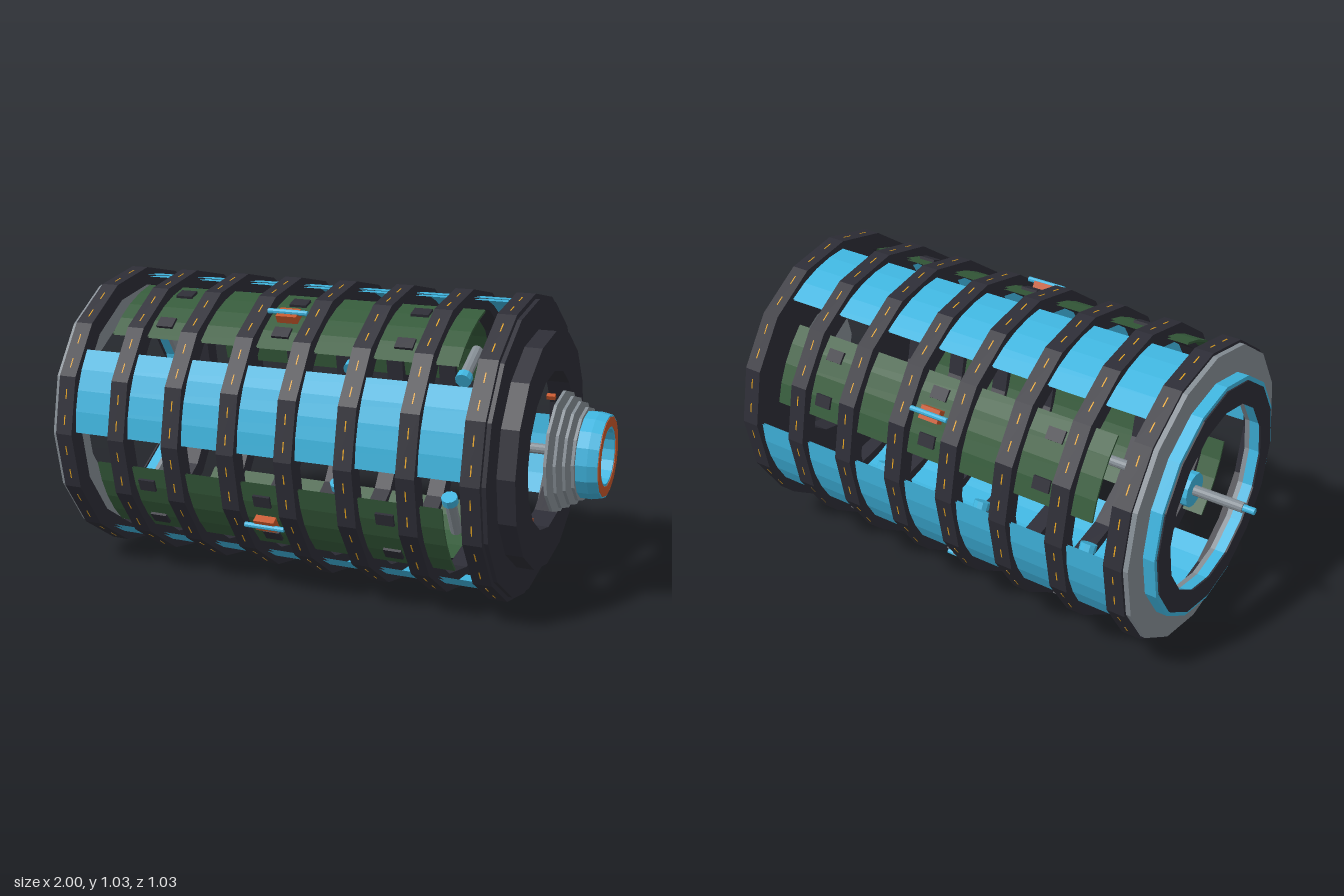
import * as THREE from 'three';

const DEG = Math.PI / 180;
const mat = (name, color, side = THREE.FrontSide) =>
  new THREE.MeshStandardMaterial({ name, color, side });

export function createModel() {
  const blue = mat('sky blue', 0x3fb4de, THREE.DoubleSide);
  const dark = mat('charcoal', 0x2d2d36);
  const green = mat('board green', 0x355a3a, THREE.DoubleSide);
  const grey = mat('steel grey', 0x858d94);
  const orange = mat('burnt orange', 0xc4562a);
  const yellow = mat('amber', 0xe0a020);

  const model = new THREE.Group();
  const body = new THREE.Group();
  body.name = 'drumBody';
  body.position.y = 0.517;
  model.add(body);

  const add = (parent, name, geometry, material) => {
    const flat = geometry.index ? geometry.toNonIndexed() : geometry;
    flat.computeVertexNormals();
    const mesh = new THREE.Mesh(flat, material);
    mesh.name = name;
    parent.add(mesh);
    return mesh;
  };

  // Solid of revolution about the x axis from [radius, x] points
  const turned = (name, profile, material, sides = 16, start = 0, length = 360) =>
    add(body, name, new THREE.LatheGeometry(
      profile.map(([r, x]) => new THREE.Vector2(r, x)),
      sides, -(start + length) * DEG, length * DEG).rotateZ(-Math.PI / 2), material);

  // Rectangular-section ring, or a sector of one
  const ring = (name, x0, x1, inner, outer, material, sides, start, length) =>
    turned(name, [[inner, x0], [outer, x0], [outer, x1], [inner, x1], [inner, x0]],
      material, sides, start, length);

  const rod = (name, x0, x1, r, material, sides = 12) =>
    turned(name, [[0, x0], [r, x0], [r, x1], [0, x1]], material, sides);

  // Group whose +z points outward at an angle measured from front to top
  const radial = (name, angle) => {
    const g = new THREE.Group();
    g.name = name;
    g.rotation.x = -angle * DEG;
    body.add(g);
    return g;
  };

  const box = (parent, name, size, pos, material) =>
    add(parent, name, new THREE.BoxGeometry(...size), material).position.set(...pos);

  // Outer hoops, with fine dashes on each facet
  for (let i = 0; i < 8; i++) {
    const x = -0.773 + i * 0.211;
    ring('hoop', x - 0.032, x + 0.032, 0.455, 0.517, dark);
    for (let k = 0; k < 16; k++) {
      const g = radial('hoopDash', 11.25 + k * 22.5);
      for (const y of [-0.05, 0.04])
        box(g, 'dash', [0.004, 0.035, 0.002], [x, y, 0.507], yellow);
    }
  }

  // Right end: flange and thick cap
  ring('rightFlange', 0.73, 0.75, 0.268, 0.5, dark);
  ring('rightCap', 0.75, 0.81, 0.268, 0.4, dark);

  // Left end: steel plate, blue collar, dark face
  ring('leftPlate', -0.822, -0.805, 0.33, 0.507, grey);
  ring('leftCollar', -0.862, -0.822, 0.33, 0.415, blue);
  ring('leftFace', -0.867, -0.861, 0.322, 0.4, dark);

  for (let q = 0; q < 4; q++) {
    // Blue shell panels
    ring('shellPanel', -0.745, 0.745, 0.482, 0.49, blue, 4, q * 90 + 0.5, 34.5);

    // Green boards with chips, posts and connector
    const mid = q * 90 + 61;
    ring('board', -0.67, 0.6, 0.472, 0.48, green, 4, mid - 17, 34);
    for (const x of [-0.478, -0.035, 0.404]) {
      for (const off of [-9.5, 9.5]) {
        box(radial('chipMount', mid + off), 'chip',
          [0.062, 0.042, 0.012], [x, 0, 0.482], dark);
      }
      const post = radial('postMount', mid);
      const middle = x === -0.035;
      const shaft = add(post, 'post', new THREE.CylinderGeometry(0.022, 0.022, 0.17, 10)
        .rotateX(Math.PI / 2), middle ? dark : grey);
      shaft.position.set(x, 0, 0.39);
      const foot = add(post, 'postCollar', new THREE.CylinderGeometry(0.03, 0.03, 0.03, 10)
        .rotateX(Math.PI / 2), blue);
      foot.position.set(x, 0, 0.31);
    }
    const link = radial('connector', mid - 1);
    box(link, 'plug', [0.075, 0.045, 0.03], [-0.035, 0, 0.492], orange);
    const lead = add(link, 'lead', new THREE.CylinderGeometry(0.009, 0.009, 0.145, 8)
      .rotateZ(Math.PI / 2), blue);
    lead.position.set(-0.035, 0, 0.508);
  }

  // Small sensors around the end opening
  for (let k = 0; k < 6; k++) {
    box(radial('sensorMount', 30 + k * 60), 'sensor',
      [0.03, 0.016, 0.016], [0.74, 0, 0.255], orange);
  }

  // Central shaft, hubs and nose cone
  rod('shaft', -0.96, 0.86, 0.018, grey);
  rod('shaftTip', -1, -0.96, 0.012, blue);
  for (const x of [-0.77, -0.3, 0.17, 0.645]) rod('hub', x - 0.014, x + 0.014, 0.06, blue);
  turned('noseCone', [[0, 0.84], [0.065, 0.84], [0.065, 0.855], [0.03, 0.9], [0, 0.9]], blue, 16);

  // Stacked steel discs and nozzle
  [[0.845, 0.206], [0.872, 0.19], [0.898, 0.175], [0.922, 0.158]].forEach(([x, r]) =>
    ring('nozzleDisc', x - 0.005, x + 0.005, 0.1, r, grey, 12));
  turned('nozzle', [[0.092, 0.92], [0.145, 0.92], [0.145, 0.965], [0.138, 0.998],
    [0.092, 0.998], [0.092, 0.92]], blue, 16);
  ring('nozzleRing', 0.975, 1, 0.1, 0.133, orange, 16);

  return model;
}
